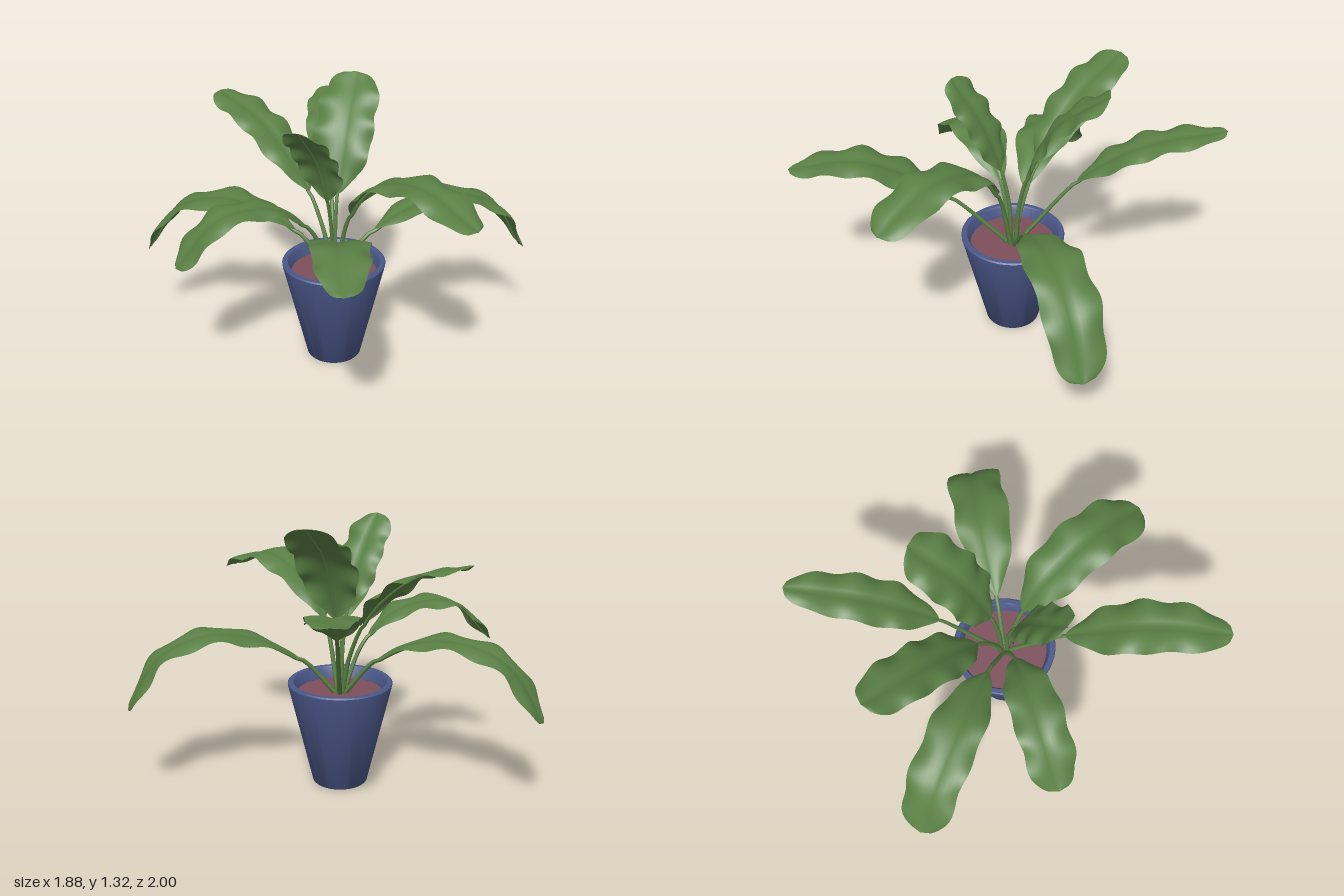
import * as THREE from 'three';
import { toCreasedNormals } from 'three/addons/utils/BufferGeometryUtils.js';

const leafMat = new THREE.MeshStandardMaterial({ color: 0x5a8045, side: THREE.DoubleSide });
const potMat = new THREE.MeshStandardMaterial({ color: 0x4a5788 });
const soilMat = new THREE.MeshStandardMaterial({ color: 0x7d4f5b });

const CENTER = new THREE.Vector3(-0.01, 0, -0.03);
const SOIL_Y = 0.45;

// Tip shapes: the higher the power, the blunter the blade's end
const POINTED = 5, BLUNT = 11;

// Surface through rows of points, all rows equally long
function skin(rows) {
  const n = rows[0].length, index = [];
  for (let i = 0; i < rows.length - 1; i++) {
    for (let j = 0; j < n - 1; j++) {
      const a = i * n + j, b = a + n;
      index.push(a, a + 1, b, a + 1, b + 1, b);
    }
  }
  const geo = new THREE.BufferGeometry().setFromPoints(rows.flat());
  geo.setIndex(index);
  geo.computeVertexNormals();
  return geo;
}

// A leaf arches in the upright plane through the pot axis and its tip (tipX, tipZ).
// arch lists [distance from axis, height]; start is the bare part of the stem.
function makeLeaf(name, tipX, tipZ, tipShape, halfWidth, start, arch) {
  const leaf = new THREE.Group();
  leaf.name = name;
  const dir = new THREE.Vector3(tipX, 0, tipZ).sub(CENTER).setY(0).normalize();
  const side = new THREE.Vector3(-dir.z, 0, dir.x);
  const points = [[0.015, SOIL_Y - 0.01], ...arch].map(([r, y]) => CENTER.clone().addScaledVector(dir, r).setY(y));
  const curve = new THREE.CatmullRomCurve3(points);
  const frame = (t) => ({
    p: curve.getPointAt(t),
    up: new THREE.Vector3().crossVectors(side, curve.getTangentAt(t)).normalize(),
  });

  // Stem running on as the midrib under the blade
  const stem = [];
  for (let i = 0; i <= 36; i++) {
    const t = i / 36, { p, up } = frame(t);
    const r = 0.002 + 0.01 * (1 - t);
    const sink = t > start ? r : 0;
    stem.push(Array.from({ length: 9 }, (_, j) => {
      const a = (-j / 8) * Math.PI * 2;
      return p.clone().addScaledVector(side, r * Math.cos(a)).addScaledVector(up, r * Math.sin(a) - sink);
    }));
  }
  const stemMesh = new THREE.Mesh(skin(stem), leafMat);
  stemMesh.name = 'stem';

  // Blade with a shallow fold and drooping, wavy edges
  const blade = [];
  for (let i = 0; i <= 60; i++) {
    const u = i / 60, { p, up } = frame(start + (1 - start) * u);
    const opening = Math.pow(Math.sin(Math.PI / 2 * Math.min(1, u / 0.4)), 0.8);
    const width = halfWidth * opening * Math.sqrt(1 - Math.pow(u, tipShape));
    blade.push(Array.from({ length: 13 }, (_, j) => {
      const s = (j - 6) / 6, e = Math.abs(s);
      const phase = u * 24 + tipX * 9 + (s > 0 ? 0 : 2);
      const lift = width * (0.36 * e - 0.42 * e * e + 0.1 * e * e * Math.sin(phase));
      const out = s * width * (1 + 0.05 * e * Math.sin(phase + 1));
      return p.clone().addScaledVector(side, out).addScaledVector(up, lift);
    }));
  }
  const bladeMesh = new THREE.Mesh(skin(blade), leafMat);
  bladeMesh.name = 'blade';

  leaf.add(stemMesh, bladeMesh);
  return leaf;
}

export function createModel() {
  const model = new THREE.Group();
  model.name = 'pottedPlant';

  // Tapered pot with a rounded rim and an inner wall
  const profile = [[0, 0], [0.125, 0], [0.131, 0.006], [0.247, 0.492], [0.248, 0.502], [0.242, 0.508], [0.222, 0.508], [0.215, 0.5], [0.202, 0.43]];
  const potGeo = new THREE.LatheGeometry(profile.map((p) => new THREE.Vector2(...p)), 40);
  const pot = new THREE.Mesh(toCreasedNormals(potGeo, 0.7), potMat);
  pot.name = 'pot';
  pot.position.copy(CENTER);

  const soil = new THREE.Mesh(new THREE.CylinderGeometry(0.206, 0.2, 0.02, 40), soilMat);
  soil.name = 'soil';
  soil.position.copy(CENTER).setY(SOIL_Y - 0.01);
  model.add(pot, soil);

  // Long leaves to the back and front
  model.add(makeLeaf('backLeaf', -0.02, -1, POINTED, 0.115, 0.38, [[0.1, 0.55], [0.33, 0.83], [0.6, 0.99], [0.97, 1.06]]));
  model.add(makeLeaf('frontLeaf', 0, 1, POINTED, 0.13, 0.32, [[0.09, 0.52], [0.33, 0.75], [0.7, 0.93], [1.03, 0.89]]));

  // Drooping leaves to the sides
  model.add(makeLeaf('leftBackLeaf', 0.94, -0.3, BLUNT, 0.13, 0.22, [[0.2, 0.64], [0.55, 0.775], [0.83, 0.69], [0.99, 0.44]]));
  model.add(makeLeaf('rightBackLeaf', -0.91, -0.33, BLUNT, 0.125, 0.22, [[0.2, 0.65], [0.5, 0.765], [0.79, 0.69], [0.97, 0.44]]));
  model.add(makeLeaf('leftFrontLeaf', 0.58, 0.55, BLUNT, 0.13, 0.3, [[0.1, 0.77], [0.25, 0.96], [0.52, 1.04], [0.82, 0.93]]));
  model.add(makeLeaf('rightFrontLeaf', -0.72, 0.28, BLUNT, 0.115, 0.28, [[0.12, 0.69], [0.31, 0.84], [0.57, 0.84], [0.78, 0.64]]));

  // Upright leaves in the middle
  model.add(makeLeaf('highRightLeaf', -0.56, -0.57, BLUNT, 0.12, 0.36, [[0.06, 0.63], [0.2, 0.88], [0.46, 1.09], [0.76, 1.19]]));
  model.add(makeLeaf('highBackLeaf', 0.11, -0.44, BLUNT, 0.14, 0.38, [[0.03, 0.67], [0.09, 0.91], [0.21, 1.14], [0.43, 1.315]]));
  model.add(makeLeaf('highFrontLeaf', -0.17, 0.25, BLUNT, 0.11, 0.45, [[0.02, 0.66], [0.07, 0.87], [0.16, 1.07], [0.32, 1.26]]));
  return model;
}
